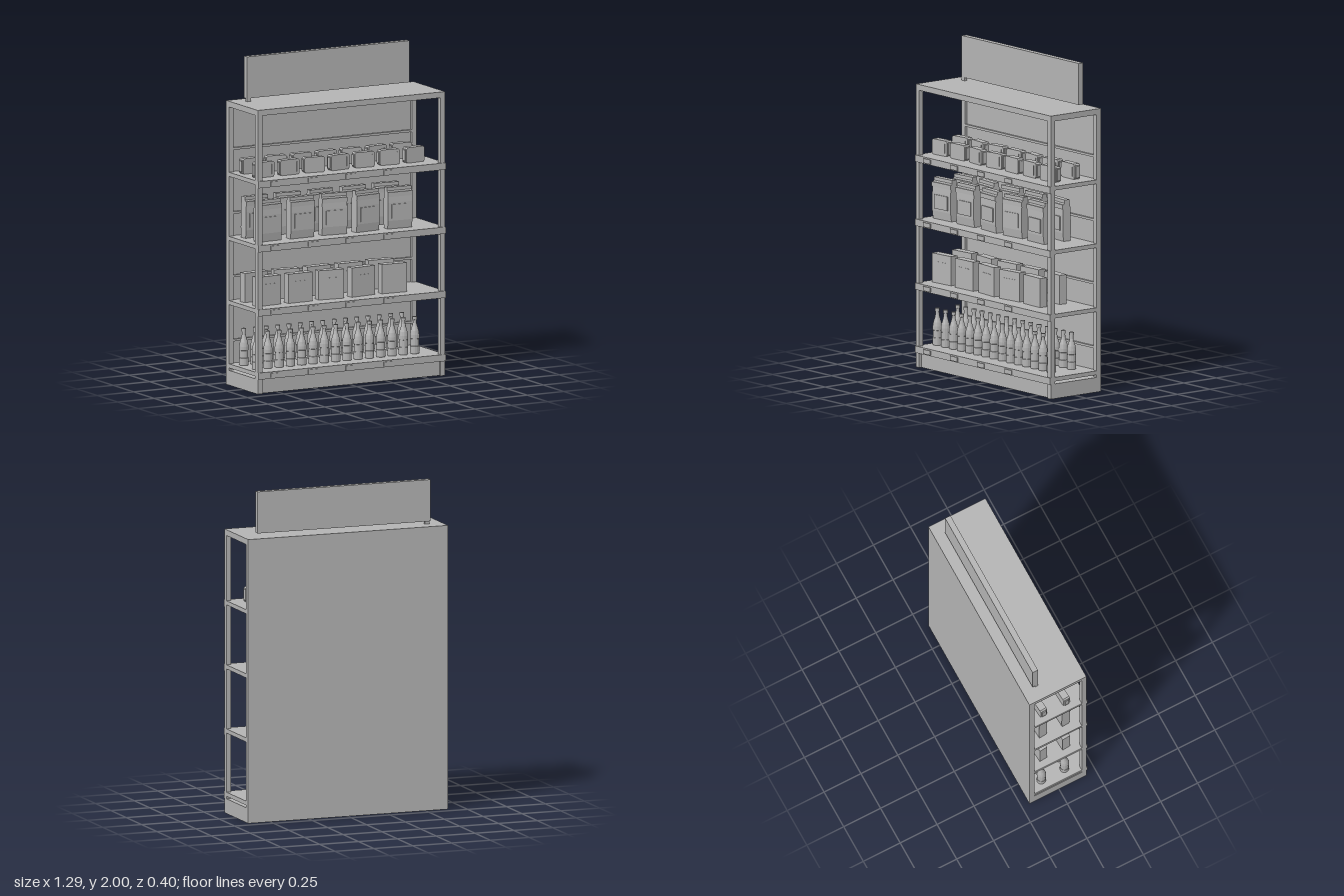
import * as THREE from 'three';

const grey = new THREE.MeshStandardMaterial({ color: 0xb3b3b3 });
grey.name = 'matte grey';

function add(parent, name, geometry) {
  const mesh = new THREE.Mesh(geometry, grey);
  mesh.name = name;
  parent.add(mesh);
  return mesh;
}

// Box given by its limits on each axis
function box(parent, name, x0, x1, y0, y1, z0, z1) {
  const mesh = add(parent, name, new THREE.BoxGeometry(x1 - x0, y1 - y0, z1 - z0));
  mesh.position.set((x0 + x1) / 2, (y0 + y1) / 2, (z0 + z1) / 2);
  return mesh;
}

function group(parent, name) {
  const g = new THREE.Group();
  g.name = name;
  parent.add(g);
  return g;
}

// Bottle: body, shoulder, neck and cap
const bottleProfile = [[0, 0], [0.026, 0], [0.028, 0.004], [0.028, 0.045], [0.0265, 0.047], [0.0265, 0.09],
  [0.028, 0.092], [0.028, 0.115], [0.024, 0.14], [0.016, 0.166], [0.0115, 0.185], [0.011, 0.205],
  [0.014, 0.206], [0.014, 0.224], [0, 0.224]].map(([r, y]) => new THREE.Vector2(r, y));
const bottleGeometry = new THREE.LatheGeometry(bottleProfile, 16).toNonIndexed();
bottleGeometry.computeVertexNormals();

function makeBottle(parent) {
  add(parent, 'bottle', bottleGeometry);
}

// Carton with a small tear strip on the front
function makeCarton(parent, i) {
  box(parent, 'carton', -0.084, 0.084, 0, 0.178, -0.026, 0.026);
  if (i % 5 === 4) box(parent, 'cartonStrip', -0.054, -0.05, 0.05, 0.13, 0.026, 0.029);
  else box(parent, 'cartonStrip', -0.045, 0.045, 0.128, 0.131, 0.026, 0.028);
}

// Bag: side profile extruded across its width, with a folded top and a label
const bagShape = new THREE.Shape([[-0.024, 0], [0.024, 0], [0.031, 0.05], [0.031, 0.16], [0.027, 0.222],
  [0.018, 0.232], [0.018, 0.252], [-0.018, 0.252], [-0.018, 0.232], [-0.025, 0.2], [-0.028, 0.06],
].map(([z, y]) => new THREE.Vector2(z, y)));
const bagGeometry = new THREE.ExtrudeGeometry(bagShape, { depth: 0.164, bevelEnabled: false })
  .translate(0, 0, -0.082).rotateY(-Math.PI / 2);

function makeBag(parent) {
  add(parent, 'bag', bagGeometry);
  box(parent, 'bagLabel', -0.058, 0.058, 0.065, 0.15, 0.03, 0.037);
  box(parent, 'bagFold', -0.083, 0.083, 0.196, 0.224, 0.025, 0.034);
}

// Small pack with clipped corners and end caps
const w = 0.066, h = 0.094, c = 0.009;
const packShape = new THREE.Shape([[-w + c, 0], [w - c, 0], [w, c], [w, h - c], [w - c, h], [-w + c, h], [-w, h - c], [-w, c],
].map(([x, y]) => new THREE.Vector2(x, y)));
const packGeometry = new THREE.ExtrudeGeometry(packShape, { depth: 0.044, bevelEnabled: false }).translate(0, 0, -0.022);

function makePack(parent) {
  add(parent, 'smallPack', packGeometry);
  for (const s of [-1, 1]) box(parent, 'packEnd', s * 0.069 - 0.003, s * 0.069 + 0.003, 0.014, 0.08, -0.013, 0.013);
  box(parent, 'packStrip', 0.046, 0.049, 0.018, 0.076, 0.022, 0.025);
}

// Two rows of goods, each item turned a little
function stock(parent, name, make, count, x0, step, y, turn) {
  const goods = group(parent, name);
  [0.068, -0.088].forEach((z, row) => {
    for (let i = 0; i < count; i++) {
      const item = group(goods, name + 'Item');
      item.position.set(x0 + i * step, y, z);
      item.rotation.y = turn * Math.sin(i * 2.3 + row * 1.7 + 0.6);
      make(item, i);
    }
  });
}

export function createModel() {
  const model = new THREE.Group();
  model.name = 'displayShelf';
  const X = 0.643;

  // Frame
  const frame = group(model, 'frame');
  for (const s of [-1, 1]) {
    const a = Math.min(s * X, s * 0.612), b = Math.max(s * X, s * 0.612);
    box(frame, 'frontPost', a, b, 0, 1.692, 0.155, 0.186);
    box(frame, 'backPost', a, b, 0.09, 1.692, -0.2, -0.165);
  }
  box(frame, 'topBoard', -X, X, 1.692, 1.727, -0.2, 0.186);
  box(frame, 'plinth', -X, X, 0, 0.09, -0.2, 0.17);
  box(frame, 'backPanel', -0.612, 0.612, 0.09, 1.692, -0.2, -0.18);
  for (const y of [0.27, 0.66, 1.046, 1.435]) box(frame, 'backRail', -0.612, 0.612, y - 0.007, y + 0.007, -0.18, -0.167);

  // Shelves with front lips and price tags
  const levels = [0.13, 0.515, 0.905, 1.295];
  for (const y of levels) {
    const shelf = group(model, 'shelf');
    box(shelf, 'shelfBoard', -X, X, y - 0.025, y, -0.185, 0.18);
    box(shelf, 'shelfLip', -X, X, y - 0.041, y, 0.18, 0.194);
    for (const x of [-0.525, -0.268, -0.012, 0.25]) {
      box(shelf, 'priceTag', x - 0.034, x + 0.034, y - 0.035, y - 0.008, 0.194, 0.2);
    }
  }

  // Goods
  stock(model, 'bottles', makeBottle, 15, -0.585, 0.0775, levels[0], 0);
  stock(model, 'cartons', makeCarton, 5, -0.515, 0.2155, levels[1], 0.12);
  stock(model, 'bags', makeBag, 5, -0.51, 0.2237, levels[2], 0.1);
  stock(model, 'packs', makePack, 7, -0.54, 0.172, levels[3], 0.12);

  // Header board on its foot
  const header = group(model, 'header');
  box(header, 'headerBoard', -0.558, 0.556, 1.747, 2, -0.133, -0.097);
  box(header, 'headerFoot', -0.558, -0.53, 1.727, 1.747, -0.115, -0.097);

  return model;
}
